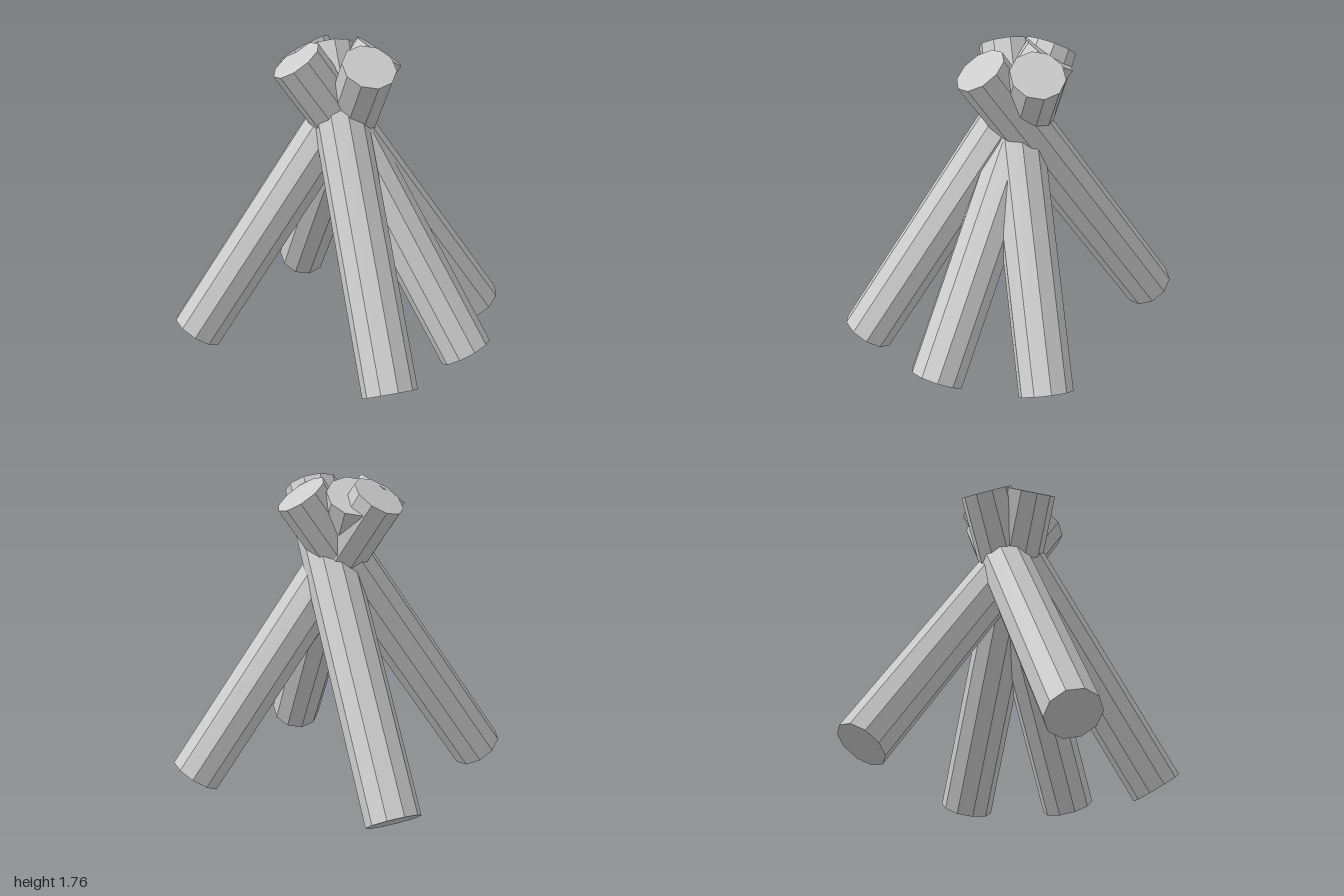
import * as THREE from 'three';

const RADIUS = 0.15, SIDES = 10;
const FOOT_Y = 0.085, TOP_Y = 1.68;

// Each log: centre of the foot cap and of the top cap, as [x, z]
const LOGS = [
  { name: 'frontLog', foot: [-0.01, 0.875], top: [-0.01, -0.215] },
  { name: 'frontLeftLog', foot: [0.545, 0.6], top: [-0.135, -0.26] },
  { name: 'leftLog', foot: [0.84, 0.065], top: [-0.245, -0.035] },
  { name: 'backLog', foot: [0.01, -0.875], top: [0.09, 0.205] },
  { name: 'rightLog', foot: [-0.845, -0.105], top: [0.24, -0.065] },
];

const material = new THREE.MeshStandardMaterial({ color: 0xcccccc, flatShading: true });

// Ten-sided log, tilted backwards and then turned so its foot points outwards
function makeLog({ name, foot, top }) {
  const dx = foot[0] - top[0], dz = foot[1] - top[1];
  const reach = Math.hypot(dx, dz), rise = TOP_Y - FOOT_Y;
  const log = new THREE.Mesh(
    new THREE.CylinderGeometry(RADIUS, RADIUS, Math.hypot(reach, rise), SIDES), material);
  log.rotation.set(-Math.atan2(reach, rise), Math.atan2(dx, dz), 0, 'YXZ');
  log.position.set((foot[0] + top[0]) / 2, (FOOT_Y + TOP_Y) / 2, (foot[1] + top[1]) / 2);
  log.name = name;
  return log;
}

export function createModel() {
  const group = new THREE.Group();
  group.name = 'campfireLogs';
  LOGS.forEach((log) => group.add(makeLog(log)));
  return group;
}
